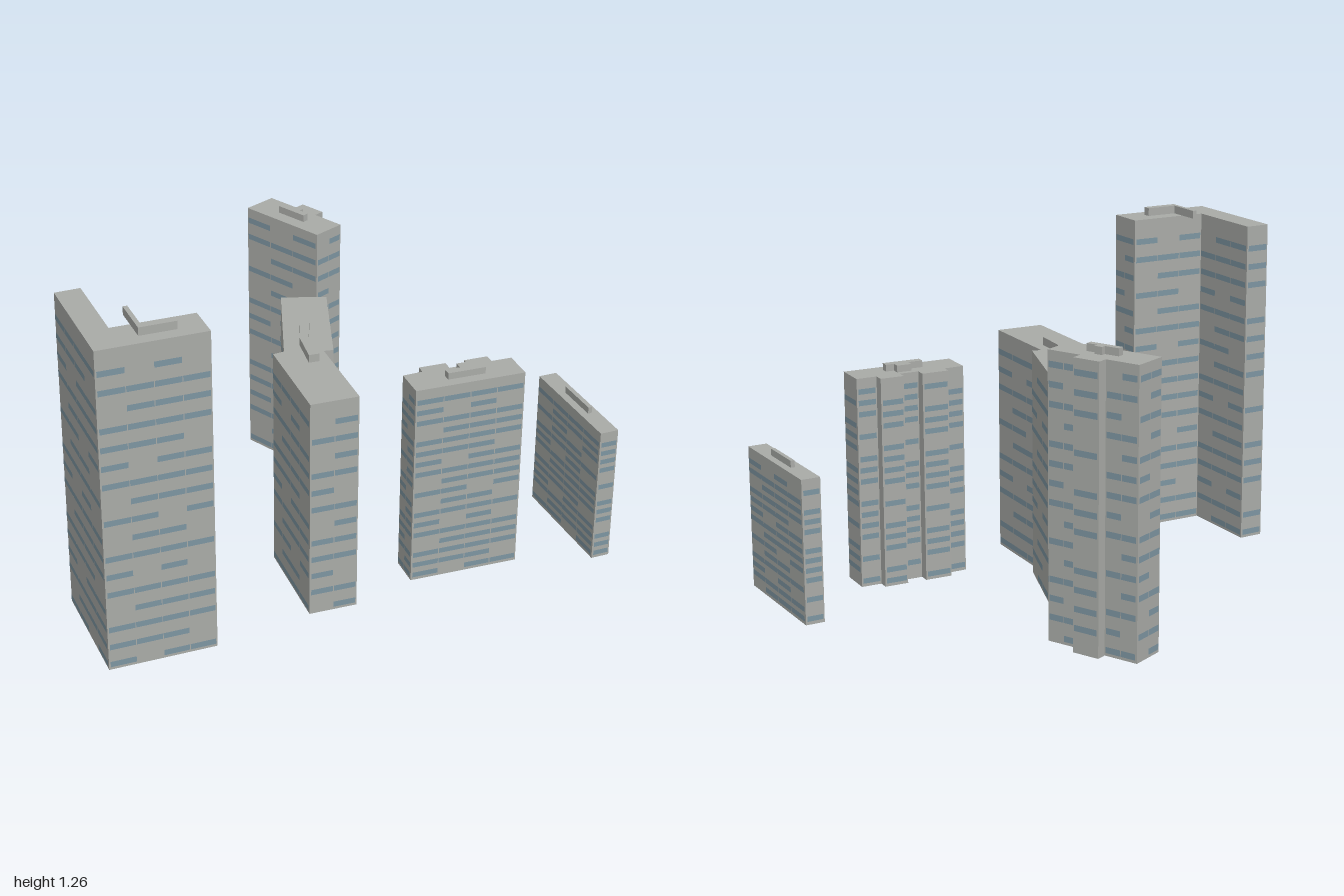
import * as THREE from 'three';
import { mergeGeometries } from 'three/addons/utils/BufferGeometryUtils.js';

const concrete = new THREE.MeshStandardMaterial({ color: 0xa9aba7 });
concrete.name = 'concrete';
const glass = new THREE.MeshStandardMaterial({ color: 0x7d95a1 });
glass.name = 'blueGreyGlass';

// Which window bays are filled on successive floors
const bayPatterns = ['1101', '0111', '1111', '1011', '1110', '1111', '0111', '1111', '1010', '1111', '0110'];

// Outline walked leg by leg with square corners: left turn after a positive
// leg, right turn after a negative one; the last side closes by itself
function walk(x, z, degrees, legs) {
  let heading = THREE.MathUtils.degToRad(degrees);
  const points = [new THREE.Vector2(x, -z)];
  for (const leg of legs) {
    const step = new THREE.Vector2(Math.cos(heading), Math.sin(heading)).multiplyScalar(Math.abs(leg));
    points.push(points.at(-1).clone().add(step));
    heading += Math.sign(leg) * Math.PI / 2;
  }
  return points;
}

// Outline from [x, z] corners, anticlockwise seen from above
const corners = (list) => list.map(([x, z]) => new THREE.Vector2(x, -z));

function prism(name, points, bottom, top) {
  const geometry = new THREE.ExtrudeGeometry(new THREE.Shape(points), {
    depth: top - bottom, bevelEnabled: false,
  });
  geometry.rotateX(-Math.PI / 2).translate(0, bottom, 0);
  const mesh = new THREE.Mesh(geometry, concrete);
  mesh.name = name;
  return mesh;
}

// Thin bands of glass on every wall, broken into bays
function windowBands(points, rows, pitch, band) {
  const panes = [];
  points.forEach((start, wall) => {
    const dir = points[(wall + 1) % points.length].clone().sub(start);
    const length = dir.length();
    if (length < 0.05) return;
    dir.normalize();
    const bays = Math.ceil(length / 0.122);
    const width = (length - 0.008) / bays;
    for (let row = 0; row < rows; row++) {
      const pattern = bayPatterns[(row + wall * 3) % bayPatterns.length];
      for (let bay = 0; bay < bays; bay++) {
        if (pattern[bay] === '0') continue;
        const along = 0.004 + (bay + 0.5) * width;
        const pane = new THREE.PlaneGeometry(width - 0.003, band);
        pane.rotateY(Math.atan2(dir.y, dir.x));
        pane.translate(
          start.x + dir.x * along + dir.y * 0.002,
          0.022 + row * pitch,
          -(start.y + dir.y * along) + dir.x * 0.002,
        );
        panes.push(pane);
      }
    }
  });
  const mesh = new THREE.Mesh(mergeGeometries(panes), glass);
  mesh.name = 'windowBands';
  return mesh;
}

function tower(name, plan, height, roof, roofTop, rows, pitch, band) {
  const group = new THREE.Group();
  group.name = name;
  group.add(
    prism('walls', plan, 0, height),
    prism('roofPlantRoom', roof, height, roofTop),
    windowBands(plan, rows, pitch, band),
  );
  return group;
}

export function createModel() {
  const model = new THREE.Group();
  model.name = 'towerBlocks';

  // Tall L-shaped block at the front
  model.add(tower('cornerTower',
    walk(-0.153, 0.883, -14.6, [0.455, 0.394, 0.14, -0.301, 0.318]), 1.23,
    walk(0.121, 0.784, -14.6, [0.164, 0.133, 0.032, -0.117, 0.132]), 1.26,
    17, 0.0702, 0.022));

  // Two wings meeting at a shallow angle
  model.add(tower('bentTower',
    corners([[-0.217, -0.3], [-0.312, -0.16], [0.048, 0.085], [0.042, 0.128],
      [0.418, 0.242], [0.468, 0.07], [0.127, -0.032], [0.141, -0.064]]), 0.85,
    corners([[-0.074, -0.117], [-0.095, -0.085], [0.042, 0.012],
      [0.168, 0.064], [0.18, 0.027], [0.055, -0.018]]), 0.88,
    12, 0.068, 0.022));

  // Block with a stair bay at the back
  model.add(tower('westTower',
    walk(-0.732, -0.306, 10.4, [0.364, 0.13, -0.131, 0.04, 0.103, -0.038, 0.13]), 1.025,
    walk(-0.625, -0.378, 10.4, [0.127, 0.024, -0.042, 0.017, 0.031, -0.017, 0.054]), 1.052,
    15, 0.0682, 0.022));

  // Block with two recesses on its west side
  model.add(tower('steppedTower',
    walk(0.342, -0.22, -16.5,
      [0.123, 0.417, 0.12, -0.077, 0.038, 0.09, -0.036, -0.072, 0.038, 0.102, -0.033]), 0.785,
    walk(0.432, -0.338, -16.5, [0.029, 0.143, 0.029, -0.031, 0.03, 0.056, 0.03]), 0.81,
    18, 0.042, 0.02));

  // Thin low slab at the back
  model.add(tower('slabTower',
    walk(0.278, -0.936, -14, [0.474, 0.071, 0.474]), 0.53,
    walk(0.431, -0.928, -14, [0.175, 0.015, 0.175]), 0.555,
    14, 0.0353, 0.019));

  return model;
}
